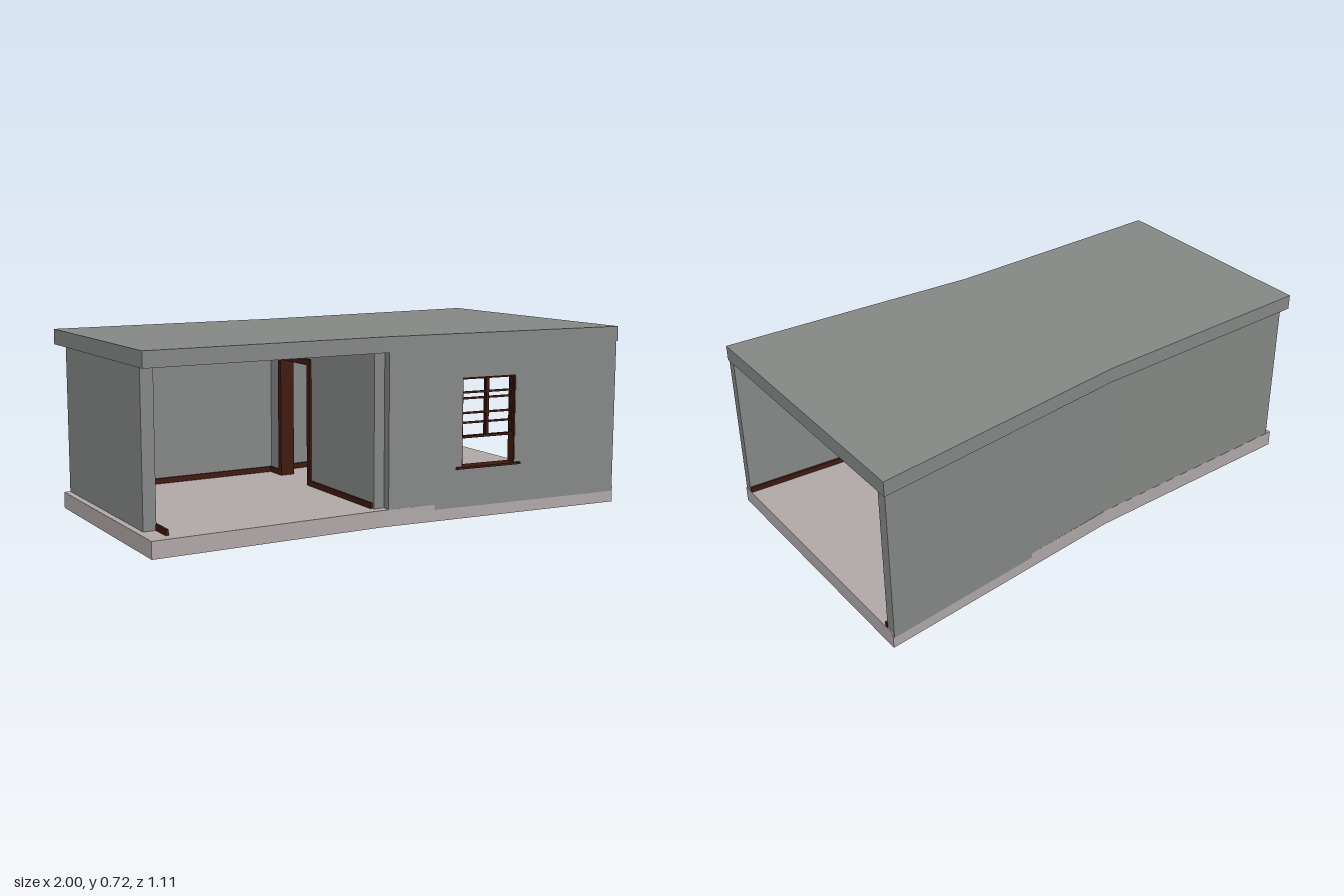
import * as THREE from 'three';

const wallMat = new THREE.MeshStandardMaterial({ color: 0x858886 });
const floorMat = new THREE.MeshStandardMaterial({ color: 0xb1a8a8 });
const woodMat = new THREE.MeshStandardMaterial({ color: 0x40190f });

function add(parent, name, geometry, material) {
  const mesh = new THREE.Mesh(geometry, material);
  mesh.name = name;
  parent.add(mesh);
  return mesh;
}

// Box given by its limits on each axis
function box(parent, name, material, x0, x1, y0, y1, z0, z1) {
  const mesh = add(parent, name, new THREE.BoxGeometry(x1 - x0, y1 - y0, z1 - z0), material);
  mesh.position.set((x0 + x1) / 2, (y0 + y1) / 2, (z0 + z1) / 2);
  return mesh;
}

// Upright prism over a footprint of [x, z] points
function prism(points, y0, y1) {
  const shape = new THREE.Shape(points.map(([x, z]) => new THREE.Vector2(x, -z)));
  return new THREE.ExtrudeGeometry(shape, { depth: y1 - y0, bevelEnabled: false })
    .rotateX(-Math.PI / 2).translate(0, y0, 0);
}

function rect(Type, x0, x1, y0, y1) {
  return new Type([[x0, y0], [x1, y0], [x1, y1], [x0, y1]].map(p => new THREE.Vector2(...p)));
}

// Flat panel with an optional rectangular hole, both given as [x0, x1, y0, y1]
function panel(outer, hole, depth) {
  const shape = rect(THREE.Shape, ...outer);
  if (hole) shape.holes.push(rect(THREE.Path, ...hole));
  return new THREE.ExtrudeGeometry(shape, { depth, bevelEnabled: false });
}

// Symmetric slab outline that widens from the kink to the open end
function slabOutline(xLeft, xKink, zNarrow, zWide) {
  return [[xLeft, zNarrow], [xKink, zNarrow], [1, zWide], [1, -zWide], [xKink, -zNarrow], [xLeft, -zNarrow]];
}

function baseboard(parent, x0, z0, x1, z1) {
  const length = Math.hypot(x1 - x0, z1 - z0);
  const mesh = add(parent, 'baseboard', new THREE.BoxGeometry(length, 0.024, 0.012), woodMat);
  mesh.position.set((x0 + x1) / 2, 0.075, (z0 + z1) / 2);
  mesh.rotation.y = -Math.atan2(z1 - z0, x1 - x0);
}

// Front wall with its window, built flat and then turned to follow the flare
function frontWall() {
  const group = new THREE.Group();
  group.name = 'frontWall';
  const depth = 0.042, x0 = 0.315, x1 = 0.553, y0 = 0.2, y1 = 0.55, mid = (x0 + x1) / 2;
  add(group, 'windowWall', panel([0, 1.024, 0.045, 0.665], [x0, x1, y0, y1], depth), wallMat);

  // Lining of the opening and casing on the room side
  add(group, 'windowLining', panel([x0 - 0.002, x1 + 0.002, y0 - 0.002, y1 + 0.002],
    [x0 + 0.004, x1 - 0.004, y0 + 0.004, y1 - 0.004], depth - 0.004), woodMat).position.z = 0.002;
  add(group, 'windowCasing', panel([x0 - 0.016, x1 + 0.016, y0 - 0.006, y1 + 0.016],
    [x0 + 0.002, x1 - 0.002, y0 + 0.004, y1 - 0.002], 0.006), woodMat).position.z = -0.005;
  box(group, 'windowSill', woodMat, x0 - 0.026, x1 + 0.022, y0 - 0.004, y0 + 0.004, 0.004, depth + 0.012);

  // Two sashes, the lower one raised behind the upper
  [[0.021, [0.41, 0.49]], [0.009, [0.37, 0.465]]].forEach(([z, rows]) => {
    add(group, 'sashFrame', panel([x0, x1, 0.312, y1], [x0 + 0.009, x1 - 0.009, 0.321, y1 - 0.009], 0.01),
      woodMat).position.z = z;
    box(group, 'sashMullion', woodMat, mid - 0.006, mid + 0.006, 0.315, y1 - 0.004, z + 0.001, z + 0.009);
    for (const y of rows)
      box(group, 'sashBar', woodMat, x0 + 0.004, x1 - 0.004, y - 0.004, y + 0.004, z + 0.002, z + 0.008);
  });

  group.position.set(-0.02, 0, 0.417);
  group.rotation.y = -Math.atan(0.09);
  return group;
}

// Dividing wall with a doorway, drawn in the z-y plane
function partition() {
  const group = new THREE.Group();
  group.name = 'partition';
  const wall = new THREE.Shape();
  [[-0.425, 0.06], [-0.32, 0.06], [-0.32, 0.565], [-0.085, 0.565], [-0.085, 0.06], [0.42, 0.06],
    [0.42, 0.665], [-0.425, 0.665]].forEach(([z, y], i) => i ? wall.lineTo(-z, y) : wall.moveTo(-z, y));
  const casing = new THREE.Shape();
  [[-0.34, 0.062], [-0.315, 0.062], [-0.315, 0.56], [-0.09, 0.56], [-0.09, 0.062], [-0.065, 0.062],
    [-0.065, 0.585], [-0.34, 0.585]].forEach(([z, y], i) => i ? casing.lineTo(-z, y) : casing.moveTo(-z, y));
  add(group, 'partitionWall', new THREE.ExtrudeGeometry(wall, { depth: 0.045, bevelEnabled: false }), wallMat);
  add(group, 'doorFrame', new THREE.ExtrudeGeometry(casing, { depth: 0.061, bevelEnabled: false }), woodMat)
    .position.z = -0.008;
  group.rotation.y = Math.PI / 2;
  group.position.x = -0.065;
  return group;
}

export function createModel() {
  const model = new THREE.Group();
  model.name = 'pavilion';

  // Slabs
  add(model, 'floorSlab', prism(slabOutline(-0.98, -0.05, 0.457, 0.549), 0, 0.065), floorMat);
  add(model, 'roofSlab', prism(slabOutline(-1, -0.05, 0.46, 0.555), 0.66, 0.72), wallMat);

  // Walls
  add(model, 'backWall', prism([[-0.955, -0.456], [-0.955, -0.42], [-0.04, -0.42], [0.996, -0.508],
    [0.996, -0.551], [-0.04, -0.4565]], 0.045, 0.665), wallMat);
  box(model, 'endWall', wallMat, -0.955, -0.905, 0.06, 0.665, -0.45, 0.32);
  model.add(frontWall(), partition());

  // Baseboards of the open-fronted room
  baseboard(model, -0.902, -0.42, -0.902, 0.41);
  baseboard(model, -0.905, -0.417, -0.065, -0.417);
  baseboard(model, -0.068, -0.42, -0.068, -0.34);
  baseboard(model, -0.068, -0.065, -0.068, 0.41);

  // Baseboards of the flared room
  baseboard(model, -0.02, -0.418, 0.999, -0.505);
  baseboard(model, -0.02, 0.414, 0.999, 0.506);
  baseboard(model, -0.017, -0.42, -0.017, -0.34);
  baseboard(model, -0.017, -0.065, -0.017, 0.415);

  return model;
}
